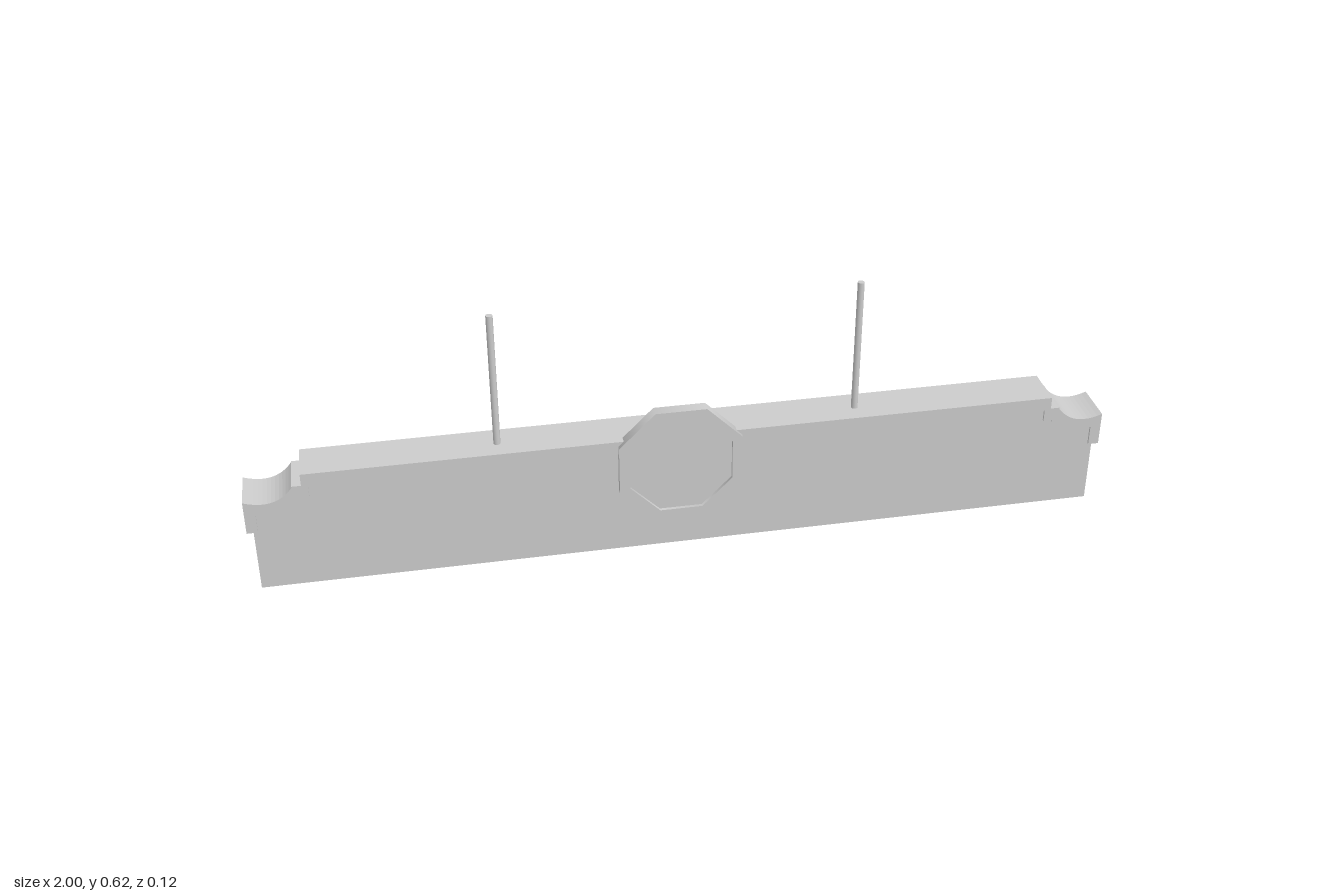
import * as THREE from 'three';

const material = new THREE.MeshStandardMaterial({ color: 0xcccccc });
const backMaterial = new THREE.MeshStandardMaterial({ color: 0xcccccc, side: THREE.BackSide });

// Right half of the stepped, scooped top edge, from the centre outwards.
function topEdge(insetX, insetY, endX) {
  const y = (v) => v - insetY;
  const scoop = new THREE.QuadraticBezierCurve(
    new THREE.Vector2(0.89 - insetX, y(0.264)),
    new THREE.Vector2(0.93, y(0.21)),
    new THREE.Vector2(endX, y(0.237))
  );
  return [
    new THREE.Vector2(0.869 - insetX, y(0.296)),
    new THREE.Vector2(0.869 - insetX, y(0.267)),
    new THREE.Vector2(0.89 - insetX, y(0.267)),
    ...scoop.getPoints(12),
  ];
}

const mirrored = (points) => points.map((p) => new THREE.Vector2(-p.x, p.y)).reverse();

// Extrudes a half outline and its mirror image between two depths.
function slab(name, half, zBack, zFront) {
  const shape = new THREE.Shape([...half, ...mirrored(half)]);
  const geometry = new THREE.ExtrudeGeometry(shape, { depth: zFront - zBack, bevelEnabled: false });
  geometry.translate(0, 0, zBack);
  return named(name, geometry);
}

function named(name, geometry, mat = material) {
  const mesh = new THREE.Mesh(geometry, mat);
  mesh.name = name;
  return mesh;
}

// Eight-sided plaque with a shallow sunken face.
function createPlaque() {
  const plaque = new THREE.Group();
  plaque.name = 'octagonalPlaque';
  const outer = 0.155, inner = 0.129, back = 0.031, floor = 0.051, front = 0.059;
  const turn = Math.PI / 8;

  const wall = (r, z0, z1) => new THREE.CylinderGeometry(r, r, z1 - z0, 8, 1, true)
    .rotateX(Math.PI / 2).rotateZ(turn).translate(0, 0, (z0 + z1) / 2);
  plaque.add(
    named('plaqueEdge', wall(outer, back, front)),
    named('plaqueRecessWall', wall(inner, floor, front), backMaterial),
    named('plaqueRim', new THREE.RingGeometry(inner, outer, 8, 1).rotateZ(turn).translate(0, 0, front)),
    named('plaqueFace', new THREE.CircleGeometry(inner, 8).rotateZ(turn).translate(0, 0, floor)),
    named('plaqueBack', new THREE.CircleGeometry(outer, 8).rotateZ(turn).rotateY(Math.PI).translate(0, 0, back))
  );
  plaque.position.set(-0.018, 0.224, 0);
  return plaque;
}

export function createModel() {
  const model = new THREE.Group();
  model.name = 'hangingSign';

  // Main board, tucked just under the moulding
  const board = [...topEdge(0.008, 0.015, 0.985), new THREE.Vector2(0.985, 0)];
  model.add(slab('board', board, -0.052, 0.043));

  // Moulding that follows the top edge and turns down at both ends
  const moulding = [
    ...topEdge(0, 0, 1),
    new THREE.Vector2(1, 0.155),
    new THREE.Vector2(0.975, 0.155),
    ...topEdge(0.015, 0.033, 0.975).reverse(),
  ];
  model.add(slab('topMoulding', moulding, -0.057, 0.048));

  model.add(createPlaque());

  // Hanging rods
  for (const [name, x] of [['rightRod', -0.43], ['leftRod', 0.402]]) {
    const rod = named(name, new THREE.CylinderGeometry(0.008, 0.008, 0.353, 12));
    rod.position.set(x, 0.4465, 0);
    model.add(rod);
  }
  return model;
}
